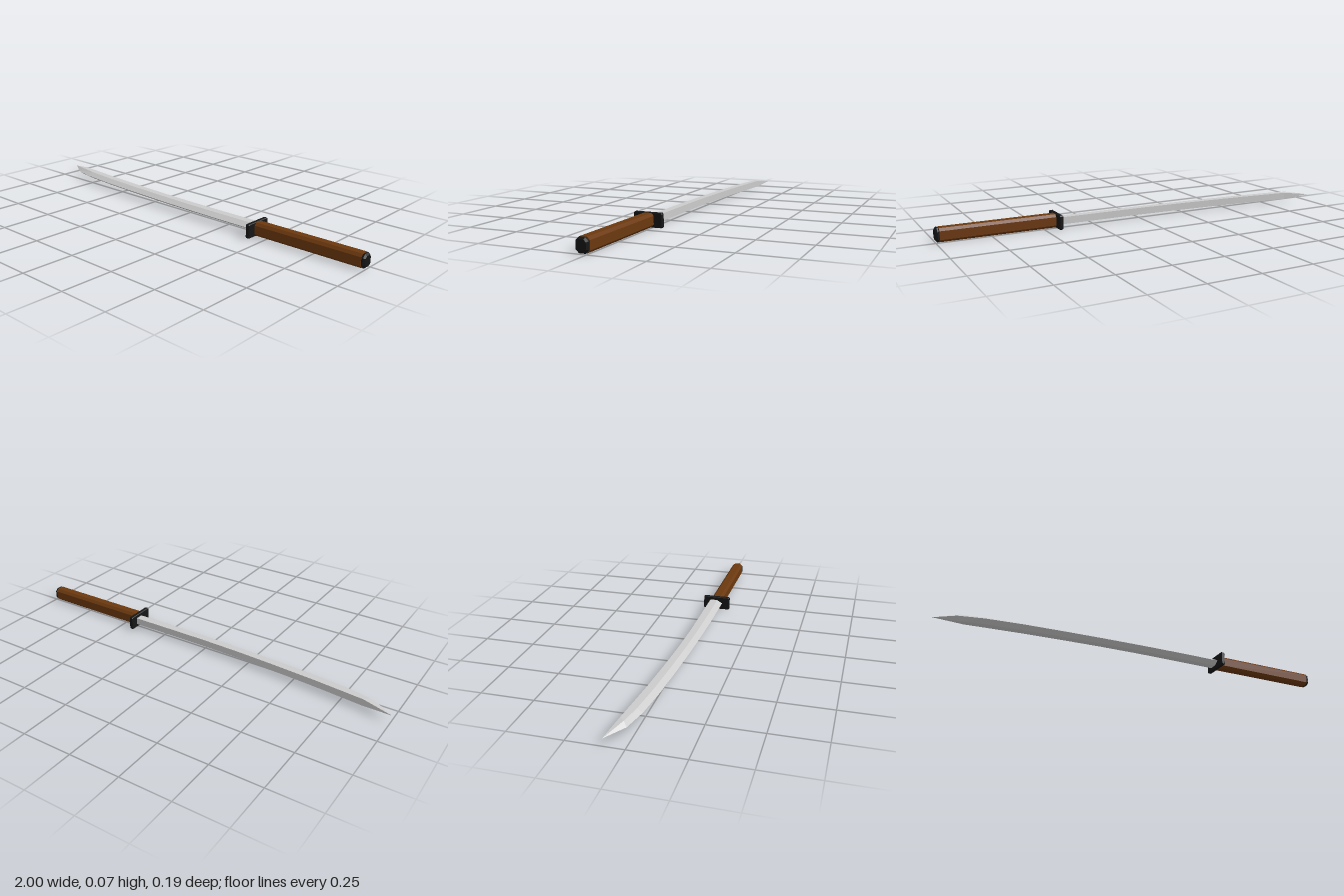
import * as THREE from 'three';

const MID_Y = 0.034, GRIP_Z = 0.022;

const mat = (color) => new THREE.MeshStandardMaterial({ color, flatShading: true });

// Rectangle with cut corners in z/y, extruded along +x from x0
function chamferedBar(name, x0, length, halfZ, halfY, cut, bevel, material) {
  const s = new THREE.Shape();
  const a = halfZ - bevel, b = halfY - bevel;
  s.setFromPoints([
    [a, b - cut], [a - cut, b], [cut - a, b], [-a, b - cut],
    [-a, cut - b], [cut - a, -b], [a - cut, -b], [a, cut - b],
  ].map(([x, y]) => new THREE.Vector2(x, y)));
  const geo = new THREE.ExtrudeGeometry(s, {
    depth: length - 2 * bevel, bevelEnabled: bevel > 0,
    bevelThickness: bevel, bevelSize: bevel, bevelSegments: 1,
  });
  geo.translate(0, 0, bevel);
  geo.rotateY(Math.PI / 2);
  const mesh = new THREE.Mesh(geo, material);
  mesh.name = name;
  mesh.position.set(x0, MID_Y, GRIP_Z);
  return mesh;
}

// Curved blade: flat spine, ridge on each side, sharp front edge
function bladeGeometry() {
  const T = 0.017, RIDGE = 0.58;
  // [spine x, spine z, edge x, edge z]
  const stations = [
    [0.43, -0.012, 0.43, 0.053], [0.2, -0.012, 0.2, 0.052],
    [0, -0.013, 0, 0.048], [-0.2, -0.019, -0.2, 0.041],
    [-0.4, -0.03, -0.4, 0.031], [-0.6, -0.044, -0.6, 0.018],
    [-0.78, -0.061, -0.78, -0.001], [-0.86, -0.069, -0.9, -0.028],
  ];
  const rings = stations.map(([sx, sz, ex, ez]) => {
    const rx = sx + (ex - sx) * RIDGE, rz = sz + (ez - sz) * RIDGE;
    return [
      [sx, MID_Y + T, sz], [rx, MID_Y + T, rz], [ex, MID_Y, ez],
      [rx, MID_Y - T, rz], [sx, MID_Y - T, sz],
    ];
  });
  // All corners meet at the tip
  rings.push(Array(5).fill([-1, MID_Y, -0.093]));
  const pos = [];
  for (let i = 0; i < rings.length - 1; i++) {
    for (let j = 0; j < 5; j++) {
      const k = (j + 1) % 5;
      const a = rings[i][j], b = rings[i][k], c = rings[i + 1][j], d = rings[i + 1][k];
      if (i < rings.length - 2) pos.push(...a, ...c, ...d);
      pos.push(...a, ...d, ...b);
    }
  }
  const geo = new THREE.BufferGeometry();
  geo.setAttribute('position', new THREE.Float32BufferAttribute(pos, 3));
  geo.computeVertexNormals();
  return geo;
}

export function createModel() {
  const group = new THREE.Group();
  group.name = 'sword';
  const steel = mat(0xcccccc), black = mat(0x151615), wood = mat(0x6b380e);

  const blade = new THREE.Mesh(bladeGeometry(), steel);
  blade.name = 'blade';

  group.add(
    blade,
    chamferedBar('guard', 0.42, 0.02, 0.07, 0.034, 0.003, 0.003, black),
    chamferedBar('handle', 0.438, 0.545, 0.029, 0.032, 0.012, 0, wood),
    chamferedBar('endCap', 0.978, 0.022, 0.029, 0.032, 0.01, 0.008, black),
  );
  return group;
}
